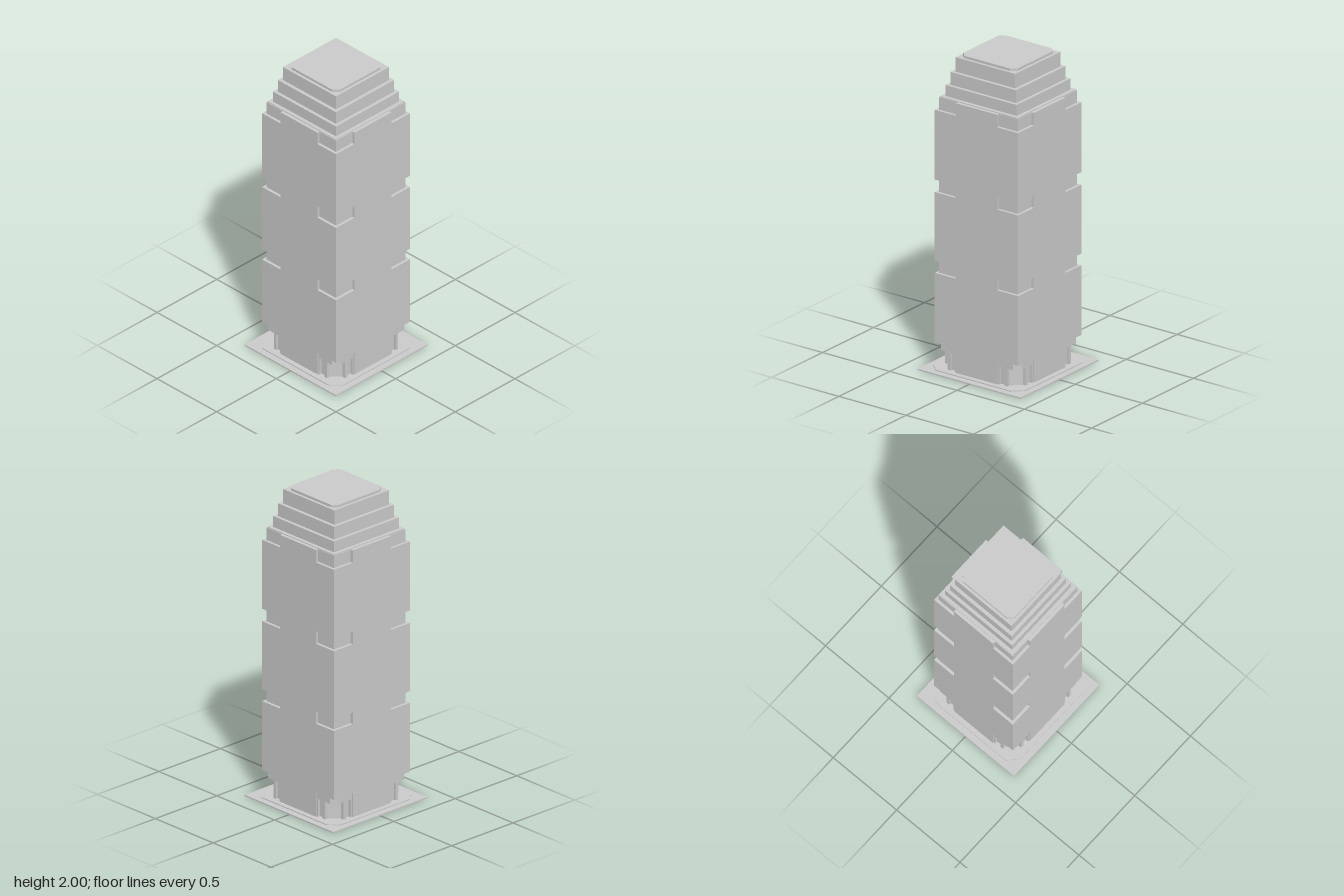
import * as THREE from 'three';

const material = new THREE.MeshStandardMaterial({ color: 0xcccccc, flatShading: true });

export function createModel() {
  const tower = new THREE.Group();
  tower.name = 'tower';

  const add = (name, geometry, x = 0, y = 0, z = 0) => {
    const mesh = new THREE.Mesh(geometry, material);
    mesh.name = name;
    mesh.position.set(x, y, z);
    tower.add(mesh);
    return mesh;
  };
  // Square block between two heights
  const block = (name, half, y0, y1) =>
    add(name, new THREE.BoxGeometry(half * 2, y1 - y0, half * 2), 0, (y0 + y1) / 2, 0);
  // Outline given for one corner, turned around all four and raised between two heights
  const prism = (name, corner, y0, y1) => {
    const points = [];
    for (let i = 0; i < 4; i++) {
      const c = Math.round(Math.cos(i * Math.PI / 2)), s = Math.round(Math.sin(i * Math.PI / 2));
      for (const [x, y] of corner) points.push(new THREE.Vector2(c * x - s * y, s * x + c * y));
    }
    const geometry = new THREE.ExtrudeGeometry(new THREE.Shape(points), { depth: y1 - y0, bevelEnabled: false });
    geometry.rotateX(-Math.PI / 2);
    return add(name, geometry, 0, y0, 0);
  };
  const chamfered = (name, half, cut, y0, y1) =>
    prism(name, [[half, half - cut], [half - cut, half]], y0, y1);

  const WALL = 0.31, CORE = 0.292, PANEL = 0.155;

  // Ground slab and raised paving
  block('groundSlab', 0.383, 0, 0.008);
  chamfered('paving', 0.342, 0.062, 0.008, 0.014);

  // Entrance storey: chamfered core, lintel and projecting wall panels
  chamfered('entranceCore', 0.285, 0.07, 0.014, 0.13);
  chamfered('entranceLintel', 0.303, 0.035, 0.13, 0.17);
  for (let side = 0; side < 4; side++) {
    const angle = side * Math.PI / 2;
    const place = (name, width, height, depth, x, y, z) => {
      const mesh = add(name, new THREE.BoxGeometry(width, height, depth),
        x * Math.cos(angle) + z * Math.sin(angle), y, z * Math.cos(angle) - x * Math.sin(angle));
      mesh.rotation.y = angle;
    };
    place('entrancePanel', PANEL * 2, 0.156, 0.04, 0, 0.092, 0.29);
    // Pillars beside each corner entrance
    for (const s of [-1, 1]) {
      place('entrancePillar', 0.02, 0.116, 0.03, s * 0.212, 0.072, 0.284);
      place('entranceJamb', 0.01, 0.116, 0.03, s * 0.16, 0.072, 0.288);
    }
  }

  // Main shaft blocks
  for (const [y0, y1] of [[0.17, 0.615], [0.69, 1.13], [1.21, 1.655]]) block('shaft', WALL, y0, y1);

  // Bands with notched corners
  const notch = [[WALL, -PANEL], [WALL, PANEL], [CORE, PANEL], [CORE, CORE], [PANEL, CORE]];
  for (const [y0, y1] of [[0.615, 0.69], [1.13, 1.21], [1.655, 1.735]]) prism('notchedBand', notch, y0, y1);

  // Stepped crown
  block('crownLip', 0.288, 1.735, 1.74);
  block('lowerTier', 0.265, 1.74, 1.81);
  block('middleTier', 0.244, 1.81, 1.892);
  block('upperTier', 0.222, 1.892, 1.984);
  chamfered('roofCap', 0.204, 0.033, 1.984, 2);

  return tower;
}
